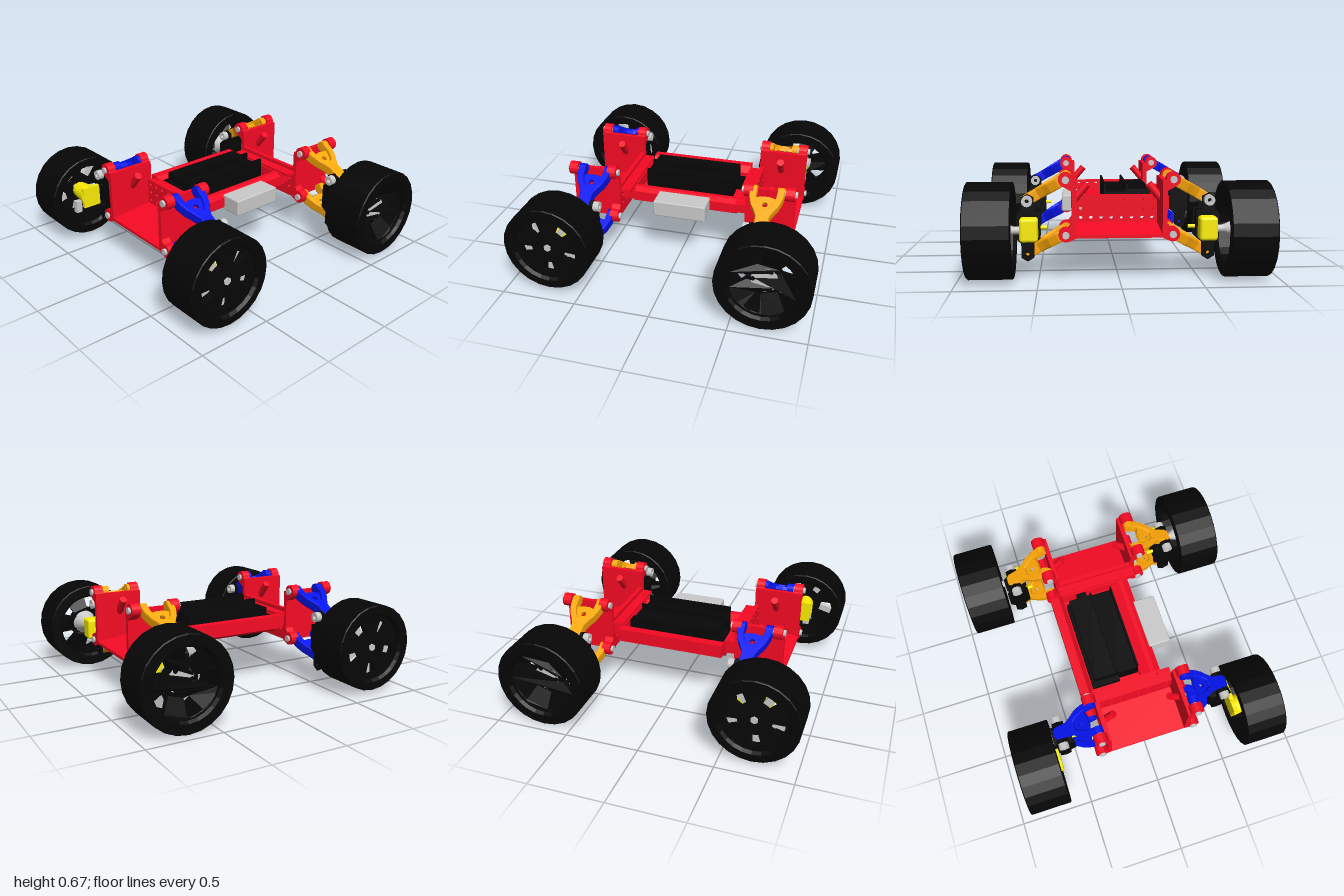
import * as THREE from 'three';
import { RoundedBoxGeometry } from 'three/addons/geometries/RoundedBoxGeometry.js';

const mat = (color, flatShading = false) =>
  new THREE.MeshStandardMaterial({ color, flatShading, side: THREE.DoubleSide });
const red = mat(0xf80a24), blue = mat(0x0414f0), orange = mat(0xffa808), yellow = mat(0xfff004);
const black = mat(0x070707), rubber = mat(0x060606, true), grey = mat(0xcccccc);

function add(parent, name, geometry, material) {
  const mesh = new THREE.Mesh(geometry, material);
  mesh.name = name;
  parent.add(mesh);
  return mesh;
}

// box given by its two extreme corners
function box(parent, name, material, a, b) {
  const size = a.map((v, i) => Math.abs(b[i] - v));
  const mesh = add(parent, name, new THREE.BoxGeometry(...size), material);
  mesh.position.set(...a.map((v, i) => (v + b[i]) / 2));
  return mesh;
}

// round bar between two points
function bar(parent, name, material, a, b, r, r2 = r, sides = 20) {
  const p = new THREE.Vector3(...a), q = new THREE.Vector3(...b);
  const mesh = add(parent, name, new THREE.CylinderGeometry(r2, r, p.distanceTo(q), sides), material);
  mesh.position.copy(p).add(q).multiplyScalar(0.5);
  mesh.quaternion.setFromUnitVectors(new THREE.Vector3(0, 1, 0), q.sub(p).normalize());
  return mesh;
}

const polygon = (pts) => new THREE.Shape(pts.map(([x, y]) => new THREE.Vector2(x, y)));
const circle = (x, y, r) => new THREE.Path().absarc(x, y, r, 0, Math.PI * 2);
const extrude = (shape, depth) =>
  new THREE.ExtrudeGeometry(shape, { depth, bevelEnabled: false, curveSegments: 8 });
const arc = (cx, cy, r, a0, a1, n = 10) => Array.from({ length: n + 1 }, (_, i) => {
  const a = a0 + (a1 - a0) * i / n;
  return [cx + r * Math.cos(a), cy + r * Math.sin(a)];
});

// wheel along local z: hollow tyre with a five-window spoke disc, dished towards the hub
function makeWheel({ R, width, rim, win, dish }, turn) {
  const wheel = new THREE.Group();
  wheel.name = 'wheel';
  const h = width / 2;
  const profile = [[rim, -h], [R - 0.006, -h], [R, -h + 0.006], [R, h - 0.006], [R - 0.006, h],
    [rim, h], [rim - 0.015, h - 0.02], [rim - 0.015, -h + 0.02], [rim, -h]];
  const tyre = new THREE.LatheGeometry(profile.map((p) => new THREE.Vector2(...p)), 24);
  add(wheel, 'tyre', tyre.rotateX(Math.PI / 2), rubber);
  const disc = new THREE.Shape().absarc(0, 0, rim, 0, Math.PI * 2);
  for (let i = 0; i < 5; i++) {
    const a = turn + i * Math.PI * 0.4;
    disc.holes.push(new THREE.Path(
      [...arc(0, 0, win[0], a - win[2], a + win[2], 3), ...arc(0, 0, win[1], a + win[3], a - win[3], 5)]
        .map((p) => new THREE.Vector2(...p))));
  }
  const spokes = extrude(disc, 0.04), pos = spokes.attributes.position;
  for (let i = 0; i < pos.count; i++)
    pos.setZ(i, pos.getZ(i) - dish * (1 - Math.hypot(pos.getX(i), pos.getY(i)) / rim));
  spokes.computeVertexNormals();
  add(wheel, 'spokes', spokes, black).position.z = h - 0.075;
  return wheel;
}

// suspension arm: thick two-pronged frame with a thin web, merging into one neck
function makeArm(parent, name, material, s, from, to, z) {
  const dx = to[0] - from[0], dy = to[1] - from[1], len = Math.hypot(dx, dy);
  const arm = new THREE.Group();
  arm.name = name;
  const flip = (pts) => pts.map(([u, v]) => [u, -v]).reverse();
  const half = [[0, 0.11], [0.06, 0.105], [0.12, 0.085], [0.16, 0.06], [0.2, 0.04], [len + 0.01, 0.04], [len + 0.03, 0.025]];
  const inner = [[0, -0.07], [0.06, -0.068], [0.11, -0.052], [0.15, -0.025]];
  const frame = polygon([...half, ...flip(half), ...inner, ...flip(inner)]);
  const g = new THREE.ExtrudeGeometry(frame, { depth: 0.044, bevelThickness: 0.012, bevelSize: 0.004, bevelSegments: 3 });
  add(arm, 'armFrame', g.translate(0, 0, -0.022).rotateX(Math.PI / 2), material);
  const edge = [[0.045, 0.025], [0.06, 0.075], [0.11, 0.06], [0.16, 0.03]];
  const web = polygon([...edge, ...flip(edge)]);
  web.holes.push(circle(0.105, 0, 0.018));
  add(arm, 'armWeb', extrude(web, 0.024).translate(0, 0, -0.012).rotateX(Math.PI / 2), material);
  for (const k of [1, -1]) bar(arm, 'armEye', material, [0, 0, k * 0.068], [0, 0, k * 0.112], 0.036);
  arm.rotation.z = Math.atan2(dy, s * dx);
  arm.position.set(s * from[0], from[1], z);
  parent.add(arm);
}

const TOP = [0.33, 0.63], LOW = [0.33, 0.29], BALL_TOP = [0.57, 0.49], BALL_LOW = [0.57, 0.15];

// open tray carrying one axle; d = +1 front, -1 rear, z0 = bulkhead, z1 = outer end
function makeBulkhead(parent, name, d, z0) {
  const g = new THREE.Group();
  g.name = name;
  parent.add(g);
  const z1 = z0 + d * 0.33;
  // floor rising gently towards the bulkhead
  const floor = polygon([[-z0, 0.275], [-z1, 0.27], [-z1, 0.29], [-z0, 0.325]]);
  add(g, 'floor', extrude(floor, 0.58).rotateY(Math.PI / 2), red).position.x = -0.29;
  const plate = polygon([[-0.28, 0.28], [0.28, 0.28], [0.28, 0.5], [-0.28, 0.5]]);
  for (let i = 0; i < 8; i++)
    for (let j = 0; j < 3; j++) plate.holes.push(circle(-0.235 + i * 0.067, 0.35 + j * 0.06, 0.012));
  add(g, 'holedPlate', extrude(plate, 0.03), red).position.z = d > 0 ? z0 : z0 - 0.03;
  const flange = polygon([[-0.28, 0], [0.28, 0], [0.28, 0.07], [-0.28, 0.07]]);
  for (const x of [-0.26, -0.18, 0.18]) flange.holes.push(circle(x, d > 0 ? 0.025 : 0.045, 0.01));
  const f = add(g, 'upperFlange', extrude(flange, 0.02).rotateX(Math.PI / 2), red);
  f.position.set(0, 0.475, d > 0 ? z0 - 0.07 : z0);
  for (const s of [1, -1]) {
    box(g, 'towerWall', red, [s * 0.265, 0.27, z0], [s * 0.295, 0.625, z1]);
    // ears holding the arm pivots
    const ear = [[0.265, 0.27], ...arc(...LOW, 0.045, -2, 1.9), [0.295, 0.36], [0.295, 0.56],
      ...arc(...TOP, 0.045, -0.9, 3.1), [0.265, 0.59]].map(([x, y]) => [s * x, y]);
    for (const [a, b] of [[0, 0.06], [0.27, 0.33]]) {
      add(g, 'pivotEar', extrude(polygon(ear), b - a), red).position.z = Math.min(z0 + d * a, z0 + d * b);
      for (const [x, y] of [TOP, LOW])
        bar(g, 'pivotPin', grey, [s * x, y, z0 + d * (a - 0.015)], [s * x, y, z0 + d * (b + 0.015)], 0.022);
    }
    const zm = z0 + d * 0.155;
    bar(g, 'shockMount', red, [s * 0.28, 0.485, zm], [s * 0.195, 0.585, zm], 0.025);
  }
}

// arms, upright, hub and wheel of one corner; s = side, d = front or rear
function makeCorner(parent, name, s, d) {
  const g = new THREE.Group();
  g.name = name;
  parent.add(g);
  const front = d > 0, z = front ? 0.57 : -0.61, colour = front ? blue : orange;
  makeArm(g, 'upperArm', colour, s, TOP, BALL_TOP, z);
  makeArm(g, 'lowerArm', colour, s, LOW, BALL_LOW, z);
  // upright with a lug at each arm
  const upright = polygon([[0.53, 0.13], [0.57, 0.105], [0.61, 0.13], [0.61, 0.22], [0.64, 0.25], [0.64, 0.4], [0.61, 0.43],
    [0.61, 0.51], [0.57, 0.53], [0.53, 0.51], [0.53, 0.43], [0.49, 0.42], [0.49, 0.25], [0.53, 0.22]]
    .map(([x, y]) => [s * x, y]));
  for (const y of [0.15, 0.25, 0.41]) upright.holes.push(circle(s * 0.57, y, 0.012));
  for (const k of [-1, 1]) add(g, 'uprightPlate', extrude(upright, 0.025), black).position.z = z + k * 0.058 - 0.0125;
  box(g, 'uprightCore', black, [s * 0.5, 0.24, z - 0.06], [s * 0.63, 0.42, z + 0.06]);
  // upper pin sleeves
  const sleeve = new THREE.Shape().absarc(0, 0, 0.034, 0, Math.PI * 2);
  sleeve.holes.push(circle(0, 0, 0.014));
  for (const k of [-1, 1])
    add(g, 'pinSleeve', extrude(sleeve, 0.04), grey).position.set(s * BALL_TOP[0], BALL_TOP[1], z + k * 0.09 - 0.02);
  bar(g, 'driveStub', yellow, [s * 0.45, 0.31, z], [s * 0.5, 0.31, z], 0.013);

  const cfg = front
    ? { R: 0.292, width: 0.28, rim: 0.235, win: [0.11, 0.19, 0.22, 0.24], dish: 0 }
    : { R: 0.304, width: 0.285, rim: 0.235, win: [0.115, 0.215, 0.15, 0.26], dish: 0.14 };
  const [wx, wy, wz] = front ? [0.77, 0.32, 0.71] : [0.797, 0.308, -0.695];
  const turn = front ? 0.9 : Math.PI, start = s > 0 ? turn : Math.PI - turn;
  const wheel = makeWheel(cfg, start);
  wheel.position.set(s * wx, wy, wz);
  wheel.rotation.y = s * Math.PI / 2;
  g.add(wheel);
  if (front) {
    // steering hub and the clips behind the wheel windows
    box(g, 'hubMount', yellow, [s * 0.615, 0.24, 0.54], [s * 0.645, 0.39, 0.77]);
    bar(g, 'hub', yellow, [s * 0.62, wy, wz], [s * 0.78, wy, wz], 0.075, 0.055);
    bar(wheel, 'hubCap', grey, [0, 0, 0.06], [0, 0, 0.115], 0.025, 0.025, 6);
    for (let i = 0; i < 5; i++) {
      const a = start + i * Math.PI * 0.4;
      const clip = add(wheel, 'windowClip', new THREE.BoxGeometry(0.09, 0.045, 0.04), grey);
      clip.position.set(0.155 * Math.cos(a), 0.155 * Math.sin(a), 0.045);
      clip.rotation.z = a;
    }
  } else {
    // gearbox and the flared drive hub
    const gear = add(g, 'gearbox', new RoundedBoxGeometry(0.115, 0.15, 0.11, 2, 0.02), yellow);
    gear.position.set(s * 0.56, 0.315, -0.715);
    bar(g, 'axle', grey, [s * 0.6, wy, wz], [s * 0.7, wy, wz], 0.025);
    bar(g, 'driveCone', grey, [s * 0.66, wy, wz], [s * 0.8, wy, wz], 0.025, 0.085);
    bar(wheel, 'hubDisc', grey, [0, 0, 0], [0, 0, 0.045], 0.085);
    for (let i = 0; i < 6; i++) {
      const a = i * Math.PI / 3, x = 0.072 * Math.cos(a), y = 0.072 * Math.sin(a);
      bar(wheel, 'hubNotch', black, [x, y, 0.03], [x, y, 0.047], 0.015);
    }
  }
}

export function createModel() {
  const model = new THREE.Group();
  model.name = 'buggyChassis';

  // central tray with sloped lower edges
  const tray = polygon([[-0.36, 0.475], [-0.36, 0.385], [-0.3, 0.38], [-0.25, 0.34], [0.15, 0.34], [0.22, 0.37], [0.22, 0.44],
    [0.18, 0.46], [0.15, 0.46], [0.08, 0.42], [0.08, 0.37], [-0.27, 0.37], [-0.27, 0.43], [-0.3, 0.475]]);
  add(model, 'tray', extrude(tray, 0.74), red).position.z = -0.39;
  // short webs joining the tray to both bulkheads
  box(model, 'frontWeb', red, [-0.27, 0.38, 0.34], [0.22, 0.46, 0.42]);
  box(model, 'rearWeb', red, [-0.27, 0.38, -0.46], [0.22, 0.46, -0.38]);

  // electronics
  box(model, 'battery', black, [-0.26, 0.365, -0.32], [-0.07, 0.455, 0.33]);
  box(model, 'batteryCover', black, [-0.24, 0.45, -0.32], [-0.07, 0.515, 0.29]);
  box(model, 'controller', black, [-0.07, 0.365, -0.32], [0.075, 0.5, 0.29]);
  box(model, 'cableCover', black, [-0.17, 0.38, -0.38], [-0.1, 0.455, -0.31]);
  for (const x of [-0.08, 0.068]) box(model, 'electronicsFin', black, [x - 0.006, 0.49, -0.32], [x + 0.006, 0.55, 0.29]);
  const motor = add(model, 'sideMotor', new RoundedBoxGeometry(0.155, 0.11, 0.36, 2, 0.008), grey);
  motor.position.set(0.28, 0.405, -0.02);

  makeBulkhead(model, 'frontBulkhead', 1, 0.42);
  makeBulkhead(model, 'rearBulkhead', -1, -0.46);
  for (const d of [1, -1])
    for (const s of [1, -1]) makeCorner(model, (d > 0 ? 'front' : 'rear') + (s > 0 ? 'Left' : 'Right') + 'Corner', s, d);
  return model;
}
